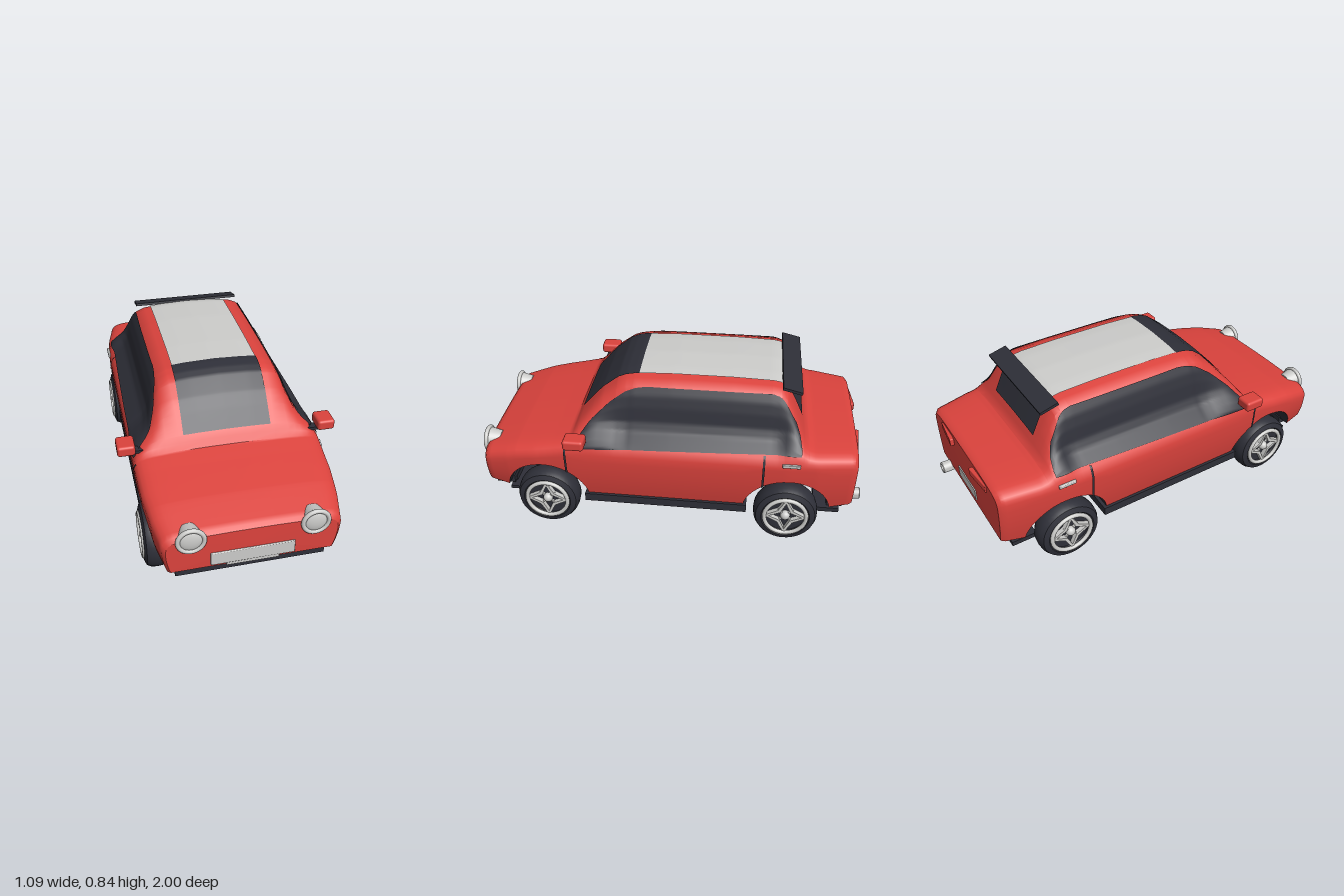
import * as THREE from 'three';
import { toCreasedNormals } from 'three/addons/utils/BufferGeometryUtils.js';
import { RoundedBoxGeometry } from 'three/addons/geometries/RoundedBoxGeometry.js';

const paint = (name, color, side = THREE.FrontSide) => {
  const m = new THREE.MeshStandardMaterial({ color, side });
  m.name = name;
  return m;
};
const red = paint('red paint', 0xdc433d);
const dark = paint('dark trim', 0x2e2f38, THREE.DoubleSide);
const grey = paint('light grey', 0xcdcdcb);

const lerp = THREE.MathUtils.lerp;
// Piecewise linear lookup; keys run in falling or rising order
function lookup(pts, v) {
  for (let i = 0; i < pts.length - 1; i++) {
    const [a, p] = pts[i], [b, q] = pts[i + 1];
    if ((v - a) * (v - b) <= 0 && a !== b) return lerp(p, q, (v - a) / (b - a));
  }
  const first = pts[0], last = pts[pts.length - 1];
  return Math.abs(v - first[0]) < Math.abs(v - last[0]) ? first[1] : last[1];
}

// Length-wise curves [z, value]: centre line, belt line, half width, floor
const TOP = [[0.98, 0.42], [0.965, 0.437], [0.8, 0.485], [0.6, 0.525], [0.51, 0.545], [0.47, 0.605], [0.4, 0.69], [0.355, 0.74],
  [0.275, 0.805], [0.235, 0.822], [0.19, 0.831], [0, 0.838], [-0.3, 0.838], [-0.5, 0.832], [-0.545, 0.824], [-0.575, 0.802],
  [-0.61, 0.74], [-0.65, 0.65], [-0.68, 0.585], [-0.7, 0.562], [-0.73, 0.55], [-0.93, 0.537], [-0.948, 0.52]];
const BELT = [[0.98, 0.42], [0.965, 0.437], [0.8, 0.485], [0.6, 0.525], [0.51, 0.545], [-0.73, 0.55], [-0.93, 0.537], [-0.948, 0.52]];
const WIDTH = [[0.98, 0.405], [0.965, 0.422], [0.85, 0.447], [0.7, 0.466], [0.5, 0.474], [-0.6, 0.474], [-0.75, 0.462], [-0.93, 0.425], [-0.948, 0.41]];
const FLOOR = [[0.98, 0.225], [0.86, 0.2], [-0.82, 0.2], [-0.948, 0.22]];
// Upper half-section as fractions [width, height], for the hood and for the cabin
const HOOD = [[1, 0], [0.99, 0.3], [0.965, 0.52], [0.92, 0.7], [0.86, 0.8], [0.8, 0.85], [0.74, 0.88], [0.66, 0.92], [0.5, 0.96], [0.25, 0.99], [0, 1]];
const CABIN = [[1, 0], [0.97, 0.12], [0.895, 0.2], [0.81, 0.29], [0.755, 0.42], [0.72, 0.62], [0.68, 0.78], [0.63, 0.9], [0.53, 0.957], [0.32, 0.985], [0, 1]];

const AXLES = [0.645, -0.61], ARCH = 0.225, AXLE_Y = 0.165;

function bottomY(z) {
  let y = lookup(FLOOR, z);
  for (const c of AXLES) {
    const d = ARCH * ARCH - (z - c) ** 2;
    if (d > 0) y = Math.max(y, AXLE_Y + Math.sqrt(d));
  }
  return y;
}

// Half section at z, from the sill up to the centre line
function halfSection(z) {
  const t = lookup(TOP, z), h = lookup(BELT, z), w = lookup(WIDTH, z), yb = bottomY(z), ys = h - 0.07;
  const k = THREE.MathUtils.clamp((t - h) / 0.28, 0, 1), pts = [];
  for (let i = 0; i < 6; i++) {
    const y = lerp(yb, ys, i / 6);
    pts.push([w * (1 - 0.075 * ((ys - y) / (ys - 0.2)) ** 2), y]);
  }
  HOOD.forEach(([x, f], i) => pts.push([w * lerp(x, CABIN[i][0], k), ys + (t - ys) * lerp(f, CABIN[i][1], k)]));
  return pts;
}
const sideX = (z, y) => lookup(halfSection(z).map(([x, py]) => [py, x]), y);
const topY = (z, x) => lookup(halfSection(z).slice(6), Math.abs(x));

// Surface from rows of points; lift pushes it out along its normals
function surface(rows, lift = 0) {
  const n = rows[0].length, idx = [], g = new THREE.BufferGeometry();
  for (let i = 0; i < rows.length - 1; i++)
    for (let j = 0; j < n - 1; j++) {
      const a = i * n + j, c = a + n;
      idx.push(a, c, a + 1, a + 1, c, c + 1);
    }
  g.setAttribute('position', new THREE.Float32BufferAttribute(rows.flat(2), 3));
  g.setIndex(idx);
  g.computeVertexNormals();
  const p = g.attributes.position, m = g.attributes.normal;
  for (let i = 0; i < p.count; i++)
    p.setXYZ(i, p.getX(i) + m.getX(i) * lift, p.getY(i) + m.getY(i) * lift, p.getZ(i) + m.getZ(i) * lift);
  return g;
}
const steps = (a, b, n) => Array.from({ length: n + 1 }, (_, i) => lerp(a, b, i / n));

export function createModel() {
  const car = new THREE.Group();
  car.name = 'car';
  const add = (name, geo, mat, x = 0, y = 0, z = 0, parent = car) => {
    const m = new THREE.Mesh(geo, mat);
    m.name = name;
    m.position.set(x, y, z);
    parent.add(m);
    return m;
  };
  const box = (name, mat, w, h, d, x, y, z) => add(name, new THREE.BoxGeometry(w, h, d), mat, x, y, z);

  // Body shell, with extra stations around the wheel arches
  const stations = [...steps(0.94, -0.91, 62), ...TOP.map(p => p[0])];
  for (const c of AXLES)
    for (const a of steps(Math.asin(0.035 / ARCH), Math.PI - Math.asin(0.035 / ARCH), 22)) stations.push(c + ARCH * Math.cos(a));
  stations.sort((a, b) => b - a);
  const zs = stations.filter((z, i) => !i || stations[i - 1] - z > 1e-4);
  const rings = zs.map(z => {
    const h = halfSection(z);
    return [...h, ...h.slice(0, -1).reverse().map(([x, y]) => [-x, y])].map(([x, y]) => [x, y, z]);
  });
  add('bodyShell', toCreasedNormals(surface(rings), 0.75), red);
  add('underside', toCreasedNormals(surface(rings.map(r => [r[r.length - 1], r[0]])), 0.5), dark);
  const capRow = (ring, z) => ring.map(() => [0, 0.33, z]);
  const first = rings[0], last = rings[rings.length - 1];
  const loop = r => [...r, r[0]];
  add('nosePanel', surface([capRow(loop(first), 0.982), loop(first)]), red);
  add('tailPanel', surface([loop(last), capRow(loop(last), -0.95)]), red);

  // Panels lying on the upper body: glass and roof
  const topPanel = (name, mat, z0, z1, w) => add(name,
    surface(steps(z0, z1, 40).map(z => steps(w, -w, 24).map(x => [x, topY(z, x), z])), 0.006), mat);
  topPanel('windscreen', dark, 0.468, 0.17, 0.22);
  topPanel('roofPanel', grey, 0.17, -0.555, 0.217);
  topPanel('rearWindow', dark, -0.585, -0.655, 0.22);

  // Panels lying on the body sides, between two height curves
  const sidePanel = (name, mat, z0, z1, nz, low, high) => {
    for (const s of [1, -1]) {
      const rows = steps(z0, z1, nz).map(z => {
        const ys = steps(low(z), high(z), 24);
        return (s > 0 ? ys : ys.reverse()).map(y => [s * sideX(z, y), y, z]);
      });
      add(name, surface(rows, 0.006), mat);
    }
  };
  const WINDOW = [[0.48, 0.525], [0.4, 0.625], [0.3, 0.72], [0.23, 0.768], [0.18, 0.788], [0.12, 0.797], [-0.5, 0.797],
    [-0.54, 0.785], [-0.565, 0.76], [-0.62, 0.67], [-0.65, 0.6], [-0.66, 0.565]];
  sidePanel('sideWindow', dark, 0.48, -0.66, 90, z => lerp(0.538, 0.51, (z + 0.66) / 1.14), z => lookup(WINDOW, z));
  sidePanel('frontDoorSeam', dark, 0.53, 0.519, 2, z => bottomY(z) + 0.002, () => 0.505);
  sidePanel('rearDoorSeam', dark, -0.475, -0.486, 2, z => bottomY(z) + 0.002, () => 0.53);

  // Lower trim
  box('sills', dark, 0.91, 0.045, 0.85, 0, 0.185, 0.018);
  box('floorPan', dark, 0.67, 0.03, 0.84, 0, 0.17, 0.018);
  box('frontChin', dark, 0.72, 0.045, 0.1, 0, 0.193, 0.905);
  box('rearChin', dark, 0.72, 0.045, 0.08, 0, 0.193, -0.865);
  box('frontLip', dark, 0.76, 0.018, 0.09, 0, 0.152, 0.83);
  box('frontLipMount', dark, 0.66, 0.05, 0.03, 0, 0.165, 0.868);
  box('rearLip', dark, 0.76, 0.025, 0.13, 0, 0.155, -0.825);

  // Plates, spoiler and exhaust
  add('frontPlate', new RoundedBoxGeometry(0.4, 0.072, 0.012, 2, 0.004), grey, 0, 0.274, 0.983);
  box('frontPlateBracket', grey, 0.25, 0.016, 0.01, 0, 0.229, 0.98);
  box('rearPlate', grey, 0.22, 0.065, 0.01, 0, 0.3, -0.95);
  box('spoiler', dark, 0.59, 0.014, 0.1, 0, 0.815, -0.597).rotation.x = -0.25;
  const pipe = [[0, -0.06], [0.03, -0.06], [0.031, 0.055], [0.027, 0.06], [0.021, 0.058], [0.02, 0.02], [0, 0.02]];
  add('exhaust', toCreasedNormals(new THREE.LatheGeometry(pipe.map(p => new THREE.Vector2(...p)), 24), 0.6), grey, 0.285, 0.205, -0.94).rotation.x = -Math.PI / 2;

  const star = (R, r) => Array.from({ length: 8 }, (_, i) => {
    const a = i * Math.PI / 4, q = i % 2 ? r : R;
    return new THREE.Vector2(q * Math.cos(a), q * Math.sin(a));
  });
  const starShape = new THREE.Shape(star(0.112, 0.055));
  starShape.holes.push(new THREE.Path(star(0.085, 0.037).reverse()));
  const starGeo = new THREE.ExtrudeGeometry(starShape, { depth: 0.025, bevelEnabled: false });
  const tyre = [[0, -0.062], [0.125, -0.062], [0.152, -0.052], [0.163, -0.03], [0.166, 0], [0.163, 0.03], [0.152, 0.052], [0.125, 0.062], [0.118, 0.055], [0.11, 0.035], [0, 0.035]];
  const tyreGeo = toCreasedNormals(new THREE.LatheGeometry(tyre.map(p => new THREE.Vector2(...p)), 40).rotateZ(-Math.PI / 2), 0.7);

  for (const s of [1, -1]) {
    // Headlights
    add('headlightHousing', new THREE.CylinderGeometry(0.062, 0.045, 0.07, 32).rotateX(Math.PI / 2), grey, s * 0.29, 0.408, 0.95);
    add('headlightRing', new THREE.TorusGeometry(0.061, 0.011, 12, 36), grey, s * 0.29, 0.408, 0.987);
    add('headlightLens', new THREE.SphereGeometry(0.056, 28, 16), grey, s * 0.29, 0.408, 0.982).scale.z = 0.3;
    // Tail lights
    add('tailLight', new RoundedBoxGeometry(0.165, 0.042, 0.022, 2, 0.005), red, s * 0.205, 0.48, -0.952).rotation.y = s * -0.1;
    // Mirrors and handles
    add('mirror', new RoundedBoxGeometry(0.088, 0.055, 0.105, 3, 0.014), red, s * 0.503, 0.577, 0.46);
    box('mirrorStalk', dark, 0.07, 0.016, 0.04, s * 0.455, 0.546, 0.46);
    add('doorHandle', new RoundedBoxGeometry(0.014, 0.018, 0.09, 2, 0.004), grey, s * (sideX(-0.615, 0.495) + 0.005), 0.495, -0.615);
    // Wheels with star-shaped spokes
    for (const z of AXLES) {
      const wheel = new THREE.Group();
      wheel.name = 'wheel';
      wheel.position.set(s * 0.414, 0.167, z);
      wheel.rotation.y = s > 0 ? 0 : Math.PI;
      car.add(wheel);
      add('tyre', tyreGeo, dark, 0, 0, 0, wheel);
      add('rimRing', new THREE.TorusGeometry(0.108, 0.011, 10, 40).rotateY(Math.PI / 2), grey, 0.06, 0, 0, wheel);
      add('spokes', starGeo, grey, 0.036, 0, 0, wheel).rotation.y = Math.PI / 2;
      add('hub', new THREE.SphereGeometry(0.026, 16, 12), grey, 0.045, 0, 0, wheel);
      for (let i = 0; i < 4; i++)
        add('crossBar', new THREE.BoxGeometry(0.012, 0.045, 0.01).translate(0, 0.035, 0), grey, 0.045, 0, 0, wheel).rotation.x = Math.PI / 4 + i * Math.PI / 2;
    }
  }
  return car;
}
